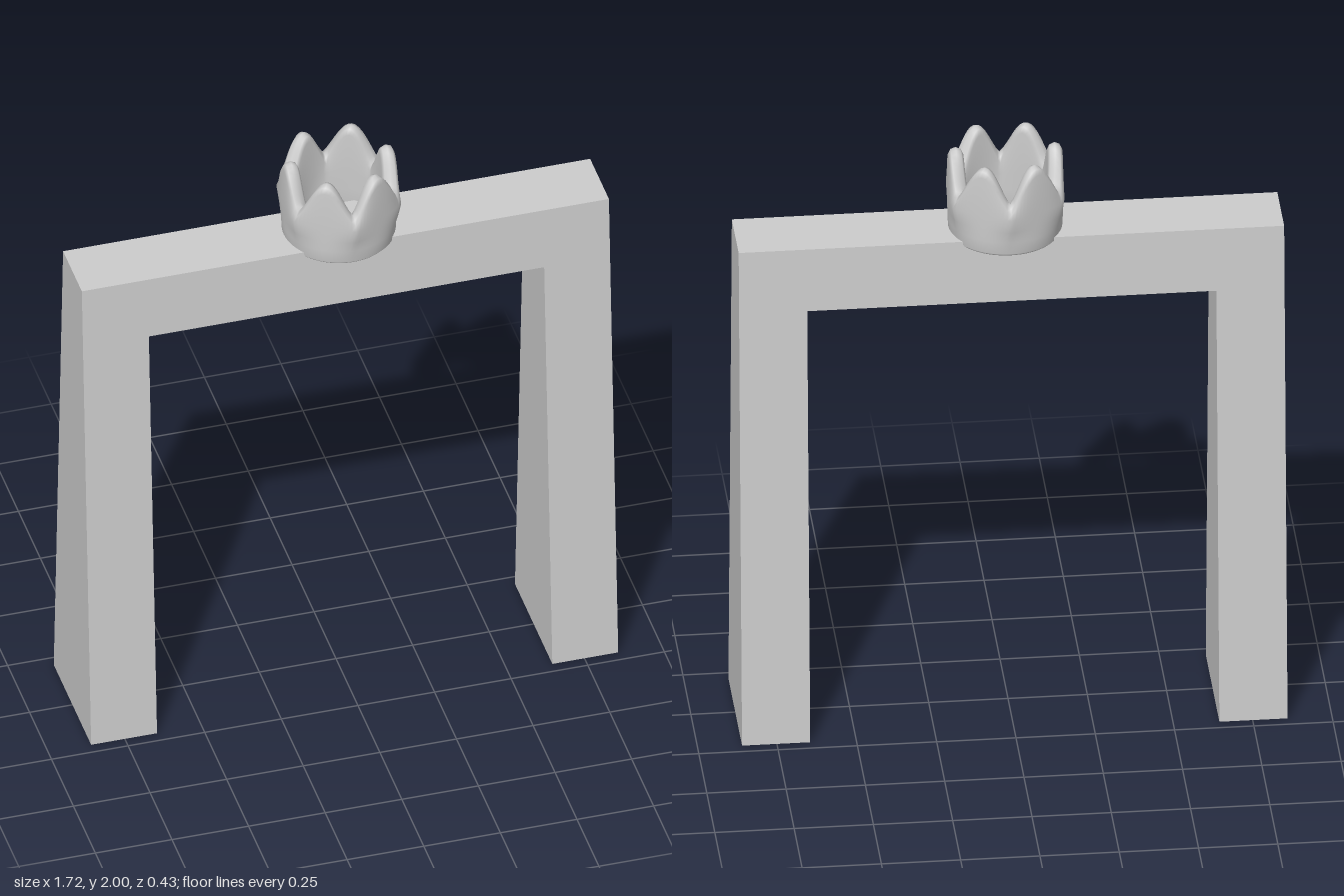
import * as THREE from 'three';

const material = new THREE.MeshStandardMaterial({ color: 0xcccccc, side: THREE.DoubleSide });

// Square arch whose depth tapers from the feet to the top
function createArch() {
  const outline = [
    [-0.86, 0], [-0.645, 0], [-0.645, 1.505], [0.645, 1.505],
    [0.645, 0], [0.86, 0], [0.86, 1.72], [-0.86, 1.72],
  ].map(([x, y]) => new THREE.Vector2(x, y));
  const geometry = new THREE.ExtrudeGeometry(new THREE.Shape(outline), { depth: 2, bevelEnabled: false });
  const p = geometry.attributes.position;
  for (let i = 0; i < p.count; i++) {
    const halfDepth = THREE.MathUtils.lerp(0.213, 0.107, p.getY(i) / 1.72);
    p.setZ(i, (p.getZ(i) - 1) * halfDepth);
  }
  geometry.computeVertexNormals();
  const arch = new THREE.Mesh(geometry, material);
  arch.name = 'arch';
  return arch;
}

// Cross-section of the crown wall at one angle, as a closed loop of [radius, y]
function crownSection(angle) {
  const peak = Math.abs(Math.cos(3 * angle)); // 1 at the six points, 0 in the notches
  const top = 1.88 + 0.12 * Math.pow(peak, 1.25);
  const bulge = THREE.MathUtils.lerp(0.202, 0.182, peak);
  const outerTop = THREE.MathUtils.lerp(0.193, 0.18, peak);
  const inner = THREE.MathUtils.lerp(0.14, 0.132, peak);
  const mid = (outerTop + inner) / 2;
  return [
    [0.14, 1.70], [0.172, 1.70], [0.179, 1.708], [0.181, 1.75],
    [(bulge + 0.181) / 2, 1.79], [bulge, 1.84], [outerTop, top - 0.025],
    [outerTop - 0.008, top - 0.007], [mid, top], [inner + 0.008, top - 0.007],
    [inner, top - 0.025], [inner, 1.82], [0.135, 1.76], [0.134, 1.708],
  ];
}

// Hollow six-pointed crown swept around its axis
function createCrown() {
  const steps = 96;
  const positions = [];
  const indices = [];
  const count = crownSection(0).length;
  for (let i = 0; i < steps; i++) {
    const angle = (i / steps) * Math.PI * 2;
    for (const [r, y] of crownSection(angle)) {
      positions.push(r * Math.cos(angle), y, r * Math.sin(angle));
    }
    for (let j = 0; j < count; j++) {
      const next = ((i + 1) % steps) * count;
      const k = (j + 1) % count;
      const a = i * count + j, b = i * count + k;
      indices.push(a, b, next + j, b, next + k, next + j);
    }
  }
  const geometry = new THREE.BufferGeometry();
  geometry.setAttribute('position', new THREE.Float32BufferAttribute(positions, 3));
  geometry.setIndex(indices);
  geometry.computeVertexNormals();
  const crown = new THREE.Mesh(geometry, material);
  crown.name = 'crown';
  crown.position.x = 0.009;
  return crown;
}

export function createModel() {
  const model = new THREE.Group();
  model.name = 'crownedArch';
  model.add(createArch(), createCrown());
  return model;
}
